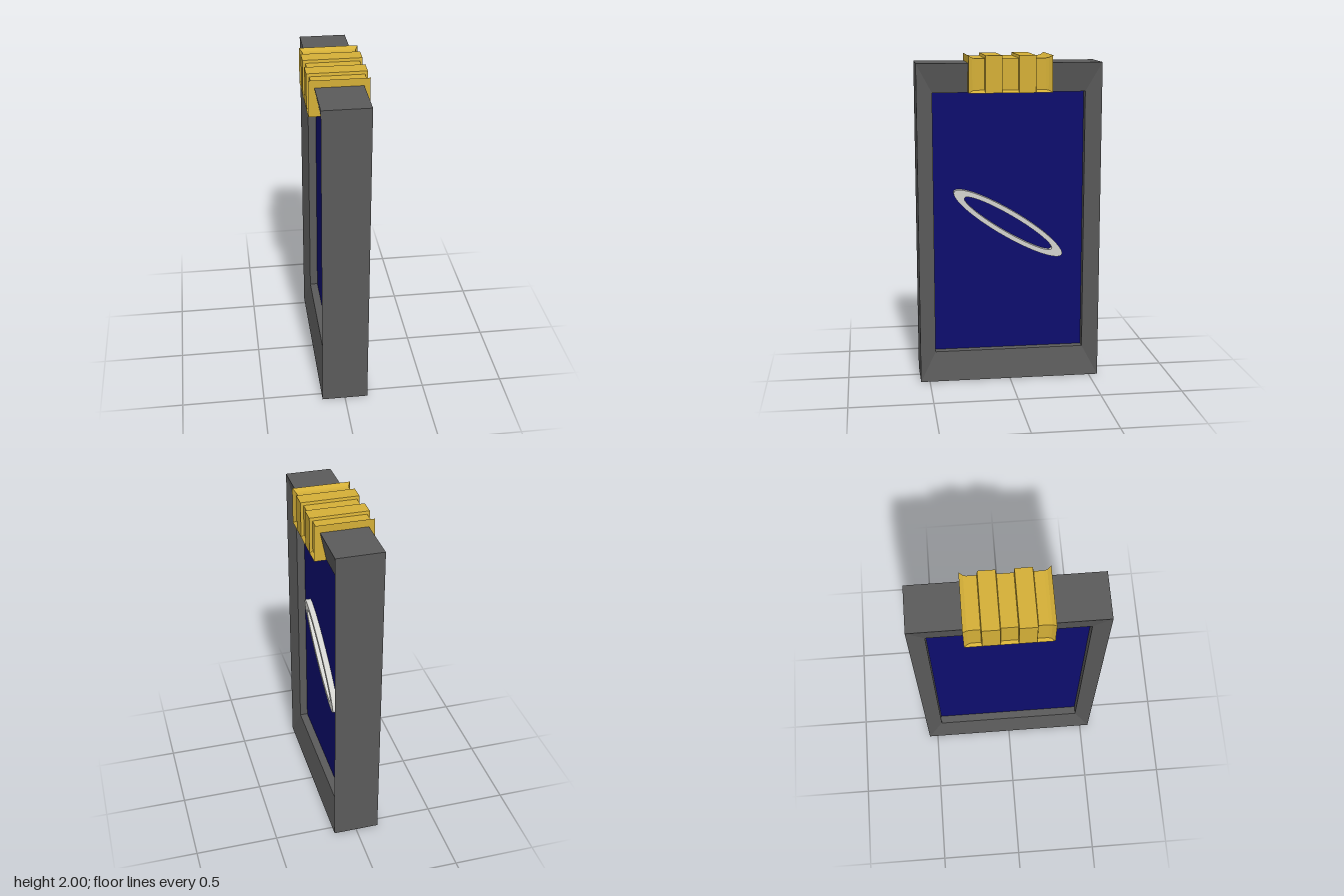
import * as THREE from 'three';

const mat = (name, color, side = THREE.FrontSide) => {
  const m = new THREE.MeshStandardMaterial({ color, side });
  m.name = name;
  return m;
};

// Joins matching rings of points with flat faces; optional end caps.
function loft(rings, capped) {
  const pos = [];
  const tri = (a, b, c) => pos.push(...a, ...b, ...c);
  const n = rings[0].length;
  for (let i = 0; i < rings.length - 1; i++) {
    const p = rings[i], q = rings[i + 1];
    for (let j = 0; j < n; j++) {
      const k = (j + 1) % n;
      tri(p[j], p[k], q[j]);
      tri(p[k], q[k], q[j]);
    }
  }
  if (capped) {
    const a = rings[0], b = rings[rings.length - 1];
    for (let j = 1; j < n - 1; j++) {
      tri(a[0], a[j + 1], a[j]);
      tri(b[0], b[j], b[j + 1]);
    }
  }
  const g = new THREE.BufferGeometry();
  g.setAttribute('position', new THREE.Float32BufferAttribute(pos, 3));
  g.computeVertexNormals();
  return g;
}

export function createModel() {
  const model = new THREE.Group();
  const grey = mat('frame grey', 0x5a5a5a);
  const navy = mat('panel navy', 0x0d0d6d);
  const gold = mat('clasp gold', 0xd4af37);
  const silver = mat('ring silver', 0xd3d3cf);
  const add = (name, geometry, material) => {
    const mesh = new THREE.Mesh(geometry, material);
    mesh.name = name;
    model.add(mesh);
    return mesh;
  };

  // Frame: outer band, faces sloping in to the opening, recessed inner walls
  const H = 1.955, panelX = 0.055;
  const rect = (x, h, lo, hi) => [[x, lo, -h], [x, lo, h], [x, hi, h], [x, hi, -h]];
  const outer = (x) => rect(x, 0.555, 0, H);
  const inner = (x) => rect(x, 0.46, 0.18, 1.78);
  add('frame', loft([
    inner(panelX - 0.01), inner(0.104), outer(0.14),
    outer(-0.14), inner(-0.104), inner(0.01 - panelX),
  ]), grey);

  // Panel filling the opening
  add('panel', new THREE.BoxGeometry(panelX * 2, 1.6, 0.92), navy).position.y = 0.98;

  // Clasp: ribbed saddle over the top bar, with flared ends and lower lips
  const W = 0.175, B = 1.781, T = 2, d = 0.017;
  const section = ([z, i]) => [
    [-W, B, z], [W, B, z], [W - i, B + i, z],
    [W - i, T - i, z], [i - W, T - i, z], [i - W, B + i, z],
  ];
  const half = [[0.047, d], [0.051, 0], [0.15, 0], [0.154, d], [0.21, d], [0.227, d * 0.8], [0.25, 0]];
  const stations = [...half.map(([z, i]) => [-z, i]).reverse(), ...half];
  add('clasp', loft(stations.map(section), true), gold);

  // Slanted oval ring on the left face of the panel
  const oval = new THREE.Shape();
  oval.absellipse(0, 0, 0.39, 0.079, 0, Math.PI * 2);
  const hole = new THREE.Path();
  hole.absellipse(0, 0, 0.316, 0.051, 0, Math.PI * 2, true);
  oval.holes.push(hole);
  const ringGeo = new THREE.ExtrudeGeometry(oval, { depth: 0.035, bevelEnabled: false, curveSegments: 32 });
  ringGeo.rotateZ(-0.555).rotateY(Math.PI / 2);
  add('ovalRing', ringGeo, silver).position.set(panelX, 0.977, 0.003);

  return model;
}
